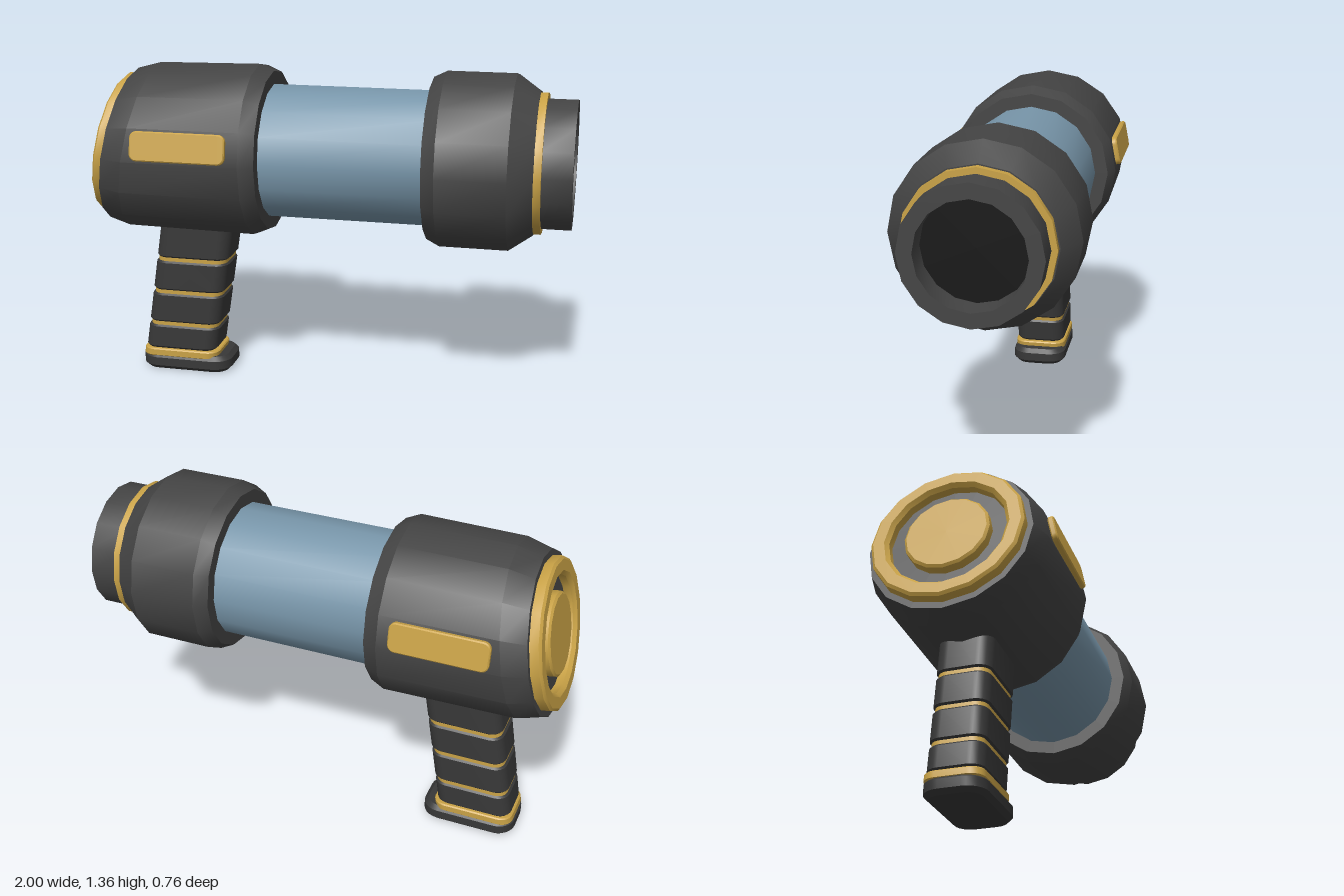
import * as THREE from 'three';
import { toCreasedNormals } from 'three/addons/utils/BufferGeometryUtils.js';

const DARK = 0x444444, GRIP = 0x383838, GOLD = 0xc9a246, BLUE = 0x7896aa, BLACK = 0x161616;
const AXIS_Y = 0.997, SIDES = 16, TILT = 0.174;

export function createModel() {
  const root = new THREE.Group();

  const add = (name, geometry, color, parent = root) => {
    const material = new THREE.MeshStandardMaterial({ color });
    const mesh = new THREE.Mesh(toCreasedNormals(geometry, 0.42), material);
    mesh.name = name;
    parent.add(mesh);
    return mesh;
  };

  // Turned part along x: profile is a list of [x, radius], running towards +x on the outside
  const turned = (profile) =>
    new THREE.LatheGeometry(profile.map(([x, r]) => new THREE.Vector2(r, x)), SIDES).rotateZ(-Math.PI / 2);

  // Move every vertex in x by a rule
  const shiftX = (geometry, rule) => {
    const p = geometry.attributes.position;
    for (let i = 0; i < p.count; i++) p.setX(i, p.getX(i) + rule(p.getX(i), p.getY(i)));
    return geometry;
  };

  const roundedRect = (w, h, r) => {
    const s = new THREE.Shape(), x = w / 2, y = h / 2;
    s.absarc(x - r, y - r, r, 0, Math.PI / 2);
    s.absarc(-x + r, y - r, r, Math.PI / 2, Math.PI);
    s.absarc(-x + r, -y + r, r, Math.PI, Math.PI * 1.5);
    s.absarc(x - r, -y + r, r, Math.PI * 1.5, Math.PI * 2);
    return s;
  };

  // Bevelled slab whose outer size is w x h x depth, starting at z = 0
  const slab = (w, h, depth, r, bevel) =>
    new THREE.ExtrudeGeometry(roundedRect(w - 2 * bevel, h - 2 * bevel, r), {
      depth: depth - 2 * bevel, bevelThickness: bevel, bevelSize: bevel,
      bevelSegments: 1, curveSegments: 3,
    }).translate(0, 0, bevel);

  // Barrel parts
  const barrel = new THREE.Group();
  barrel.name = 'barrel';
  barrel.position.y = AXIS_Y;
  root.add(barrel);

  // Rear housing, with its back end slanted
  const housing = turned([[-0.9025, 0], [-0.9025, 0.328], [-0.805, 0.356], [-0.31, 0.363], [-0.25, 0.336], [-0.25, 0]]);
  shiftX(housing, (x, y) => (x < -0.5 ? 0.176 * y : 0));
  add('rearHousing', housing, DARK, barrel);

  add('tube', turned([[-0.27, 0.281], [0.44, 0.281]]), BLUE, barrel);
  add('frontHousing', turned([[0.42, 0], [0.42, 0.336], [0.475, 0.363], [0.755, 0.363], [0.85, 0.295], [0.85, 0]]), DARK, barrel);
  add('frontRing', turned([[0.845, 0.2], [0.845, 0.29], [0.88, 0.29], [0.88, 0.2]]), GOLD, barrel);
  add('muzzle', turned([[0.87, 0.266], [1, 0.266], [1, 0.207], [0.89, 0.207]]), DARK, barrel);
  add('boreFloor', turned([[0.89, 0.21], [0.89, 0]]), BLACK, barrel);

  // Slanted rear cap: ring and round button
  const cap = new THREE.Group();
  cap.name = 'rearCap';
  cap.position.x = -0.9025;
  cap.rotation.z = -TILT;
  barrel.add(cap);
  add('rearRing', turned([[-0.03, 0.235], [-0.045, 0.25], [-0.045, 0.295], [-0.036, 0.306],
    [0.002, 0.306], [0.002, 0.235], [-0.03, 0.235]]), GOLD, cap);
  add('rearButton', turned([[-0.042, 0], [-0.042, 0.16], [-0.034, 0.17], [0, 0.17]]), GOLD, cap);

  // Side panels lying on the facets just above the middle
  for (const side of [1, -1]) {
    const pivot = new THREE.Group();
    pivot.name = side > 0 ? 'frontSidePanel' : 'backSidePanel';
    pivot.rotation.y = side > 0 ? 0 : Math.PI;
    barrel.add(pivot);
    const panel = add('panel', slab(0.4, 0.122, 0.025, 0.025, 0.005), GOLD, pivot);
    panel.position.set(-0.56 * side, 0.0698, 0.3511).multiply(new THREE.Vector3(1, 0.98, 0.98));
    panel.rotation.x = -Math.PI / SIDES;
  }

  // Handle pieces: upright slabs leaning by a shear
  const handle = new THREE.Group();
  handle.name = 'handle';
  root.add(handle);
  const piece = (name, color, cx, w, d, y0, y1, r, bevel, lean = 0.154) => {
    const g = slab(w, d, y1 - y0, r, bevel).rotateX(-Math.PI / 2).translate(cx, y0, 0);
    add(name, shiftX(g, (x, y) => lean * (y - 0.1)), color, handle);
  };
  const cuts = [0.09, 0.213, 0.361, 0.51, 0.72];
  for (let i = 0; i < 4; i++) {
    piece('gripSegment', GRIP, -0.67, 0.326, 0.22, cuts[i] + 0.006, cuts[i + 1] - 0.006, 0.045, 0.01);
    if (i) piece('gripBand', GOLD, -0.67, 0.31, 0.205, cuts[i] - 0.012, cuts[i] + 0.012, 0.045, 0.002);
  }
  piece('collar', GOLD, -0.666, 0.345, 0.232, 0.06, 0.095, 0.05, 0.005);
  piece('pommel', GRIP, -0.6475, 0.405, 0.242, 0, 0.073, 0.06, 0.018, 0);

  return root;
}
